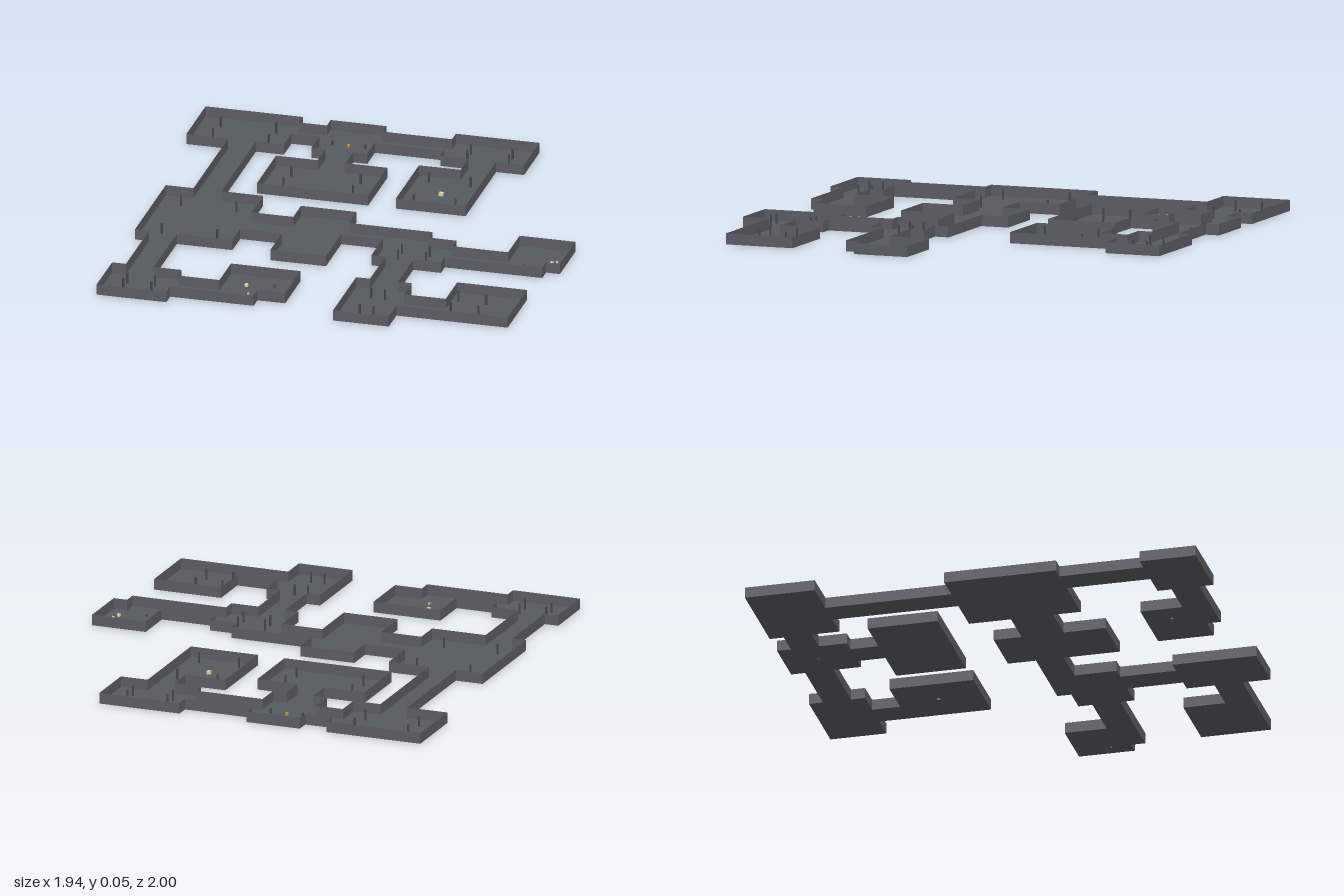
import * as THREE from 'three';
import { mergeGeometries } from 'three/addons/utils/BufferGeometryUtils.js';

const CELL = 0.0625, COLS = 31, ROWS = 32, WALL = 0.048;
const px = (c) => (c - COLS / 2) * CELL;
const pz = (r) => (r - ROWS / 2) * CELL;

// Floor plan in grid cells: [column start, row start, column end, row end]
const rooms = [
  [0, 0, 7, 5], [9, 0, 13, 5], [18, 0, 24, 4], [7, 7, 15, 12], [17, 6, 22, 12],
  [1, 14, 8, 22], [11, 15, 15, 23], [18, 18, 23, 22], [27, 16, 31, 20],
  [1, 28, 6, 32], [9, 26, 14, 30], [18, 26, 22, 32], [25, 25, 30, 30],
];
const corridors = [
  [7, 1, 9, 3], [13, 1, 18, 3], [10, 5, 12, 7], [20, 4, 22, 6], [3, 5, 5, 14],
  [8, 17, 11, 20], [15, 17, 21, 19], [23, 19, 30, 21], [2, 22, 4, 28],
  [6, 29, 12, 31], [19, 22, 21, 26], [22, 28, 25, 30],
];
// Four pillars per entry: [column a, column b, row a, row b]
const pillarSets = [
  [1.5, 5.5, 1.5, 3.5], [19.5, 22.5, 1.5, 2.5], [8.5, 13.5, 8.5, 10.5], [18, 21, 7, 11],
  [2.5, 6.5, 15.5, 20.5], [19.5, 21.5, 19.5, 20.5], [2.5, 4.5, 29.5, 30.5],
  [19.5, 20.5, 27.5, 30.5], [25.5, 27.5, 26.5, 28.5],
];

const open = new Set();
for (const [c0, r0, c1, r1] of [...rooms, ...corridors])
  for (let c = c0; c < c1; c++) for (let r = r0; r < r1; r++) open.add(c + ',' + r);
const isOpen = (c, r) => open.has(c + ',' + r);

// Calls emit(start, end, value) for each unbroken run of equal non-zero values
function runs(length, valueAt, emit) {
  let start = 0, value = 0;
  for (let i = 0; i <= length; i++) {
    const next = i < length ? valueAt(i) : 0;
    if (next === value) continue;
    if (value) emit(start, i, value);
    start = i;
    value = next;
  }
}

function floorGeometry() {
  const parts = [];
  for (let r = 0; r < ROWS; r++) {
    runs(COLS, (c) => (isOpen(c, r) ? 1 : 0), (a, b) => {
      parts.push(new THREE.PlaneGeometry((b - a) * CELL, CELL).rotateX(-Math.PI / 2)
        .translate(px((a + b) / 2), 0, pz(r + 0.5)));
    });
  }
  return mergeGeometries(parts);
}

// Upright panels wherever an open cell borders an empty one, facing outwards
function wallGeometry() {
  const parts = [];
  const panel = (len, turn, x, z) => parts.push(
    new THREE.PlaneGeometry(len, WALL).rotateY(turn).translate(x, WALL / 2, z));
  for (let r = 0; r <= ROWS; r++) {
    runs(COLS, (c) => isOpen(c, r - 1) - isOpen(c, r), (a, b, s) =>
      panel((b - a) * CELL, s > 0 ? 0 : Math.PI, px((a + b) / 2), pz(r)));
  }
  for (let c = 0; c <= COLS; c++) {
    runs(ROWS, (r) => isOpen(c - 1, r) - isOpen(c, r), (a, b, s) =>
      panel((b - a) * CELL, s * Math.PI / 2, px(c), pz((a + b) / 2)));
  }
  return mergeGeometries(parts);
}

export function createModel() {
  const model = new THREE.Group();
  model.name = 'dungeonMap';
  const paint = (color, side = THREE.FrontSide) =>
    new THREE.MeshStandardMaterial({ color, side });
  const add = (name, geometry, material, x = 0, y = 0, z = 0) => {
    const mesh = new THREE.Mesh(geometry, material);
    mesh.name = name;
    mesh.position.set(x, y, z);
    model.add(mesh);
  };
  const stone = paint(0x555a60, THREE.DoubleSide);
  const pillarStone = paint(0x44474d);
  const gold = paint(0xc79a45);
  const cream = paint(0xe0d3ae);

  add('floor', floorGeometry(), stone);
  add('walls', wallGeometry(), paint(0x5c5c66, THREE.DoubleSide));

  // Pillars
  const pillar = new THREE.CylinderGeometry(0.005, 0.005, WALL, 8);
  for (const [c0, c1, r0, r1] of pillarSets)
    for (const c of [c0, c1]) for (const r of [r0, r1])
      add('pillar', pillar, pillarStone, px(c), WALL / 2, pz(r));

  // Small furnishings: [name, x, z, size, height, material]
  const props = [
    ['chest', 0.245, -0.44, 0.018, 0.014, cream],
    ['chest', -0.305, 0.74, 0.014, 0.012, cream],
    ['chest', 0.908, 0.158, 0.013, 0.012, cream],
    ['coin', -0.275, 0.82, 0.008, 0.006, cream],
    ['coin', 0.925, 0.135, 0.008, 0.006, cream],
    ['treasure', -0.283, -0.845, 0.01, 0.012, gold],
    ['post', -0.357, -0.845, 0.008, 0.02, pillarStone],
    ['post', -0.208, -0.845, 0.008, 0.02, pillarStone],
    ['post', -0.185, 0.72, 0.007, 0.012, pillarStone],
    ['post', 0.795, 0.2, 0.006, 0.008, pillarStone],
  ];
  for (const [name, x, z, size, height, material] of props)
    add(name, new THREE.BoxGeometry(size, height, size), material, x, height / 2, z);
  return model;
}
